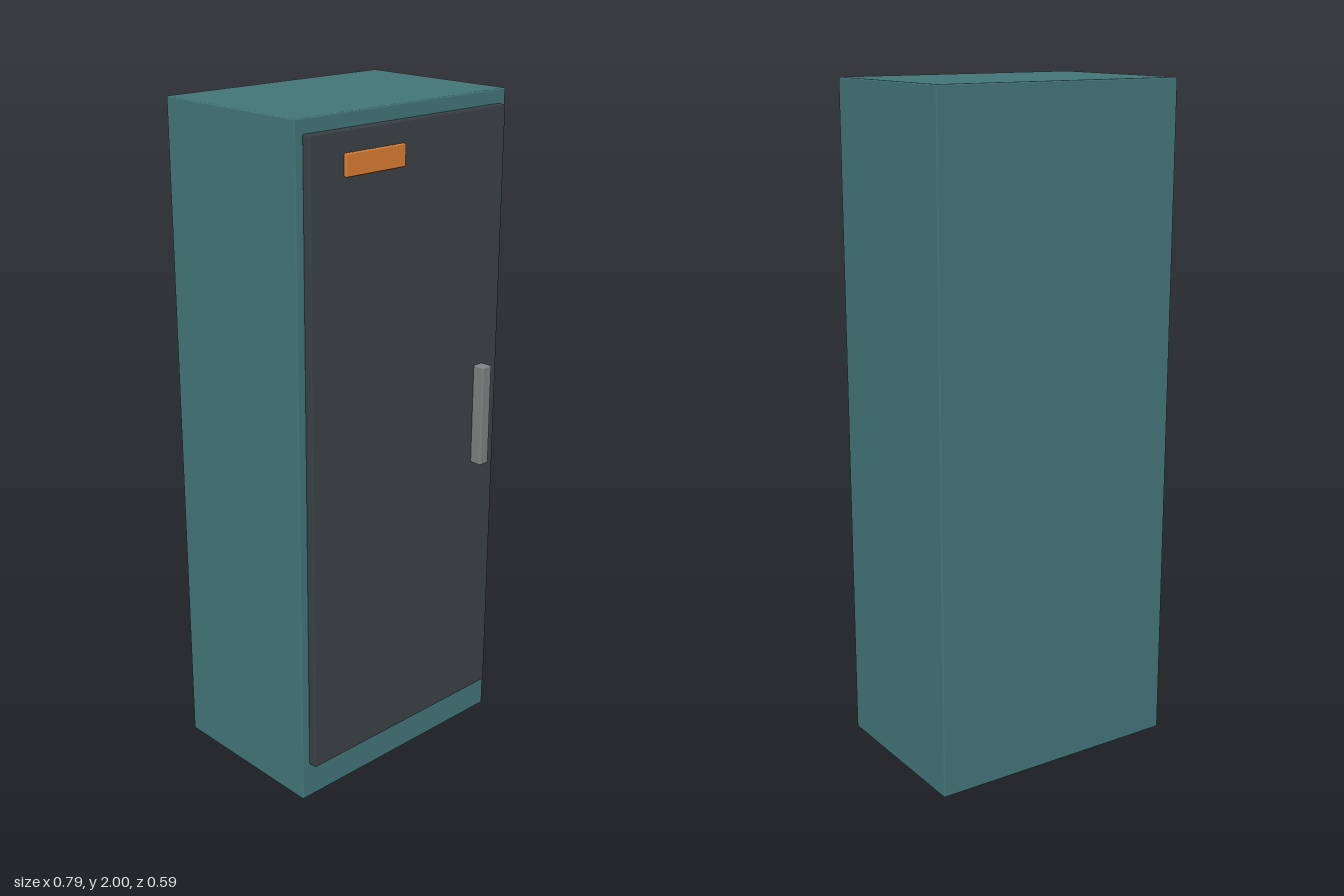
import * as THREE from 'three';
import { RoundedBoxGeometry } from 'three/addons/geometries/RoundedBoxGeometry.js';

// Softly rounded box given by its extents on each axis
function roundedPart(name, color, [x0, x1], [y0, y1], [z0, z1], radius) {
  const mesh = new THREE.Mesh(
    new RoundedBoxGeometry(x1 - x0, y1 - y0, z1 - z0, 3, radius),
    new THREE.MeshStandardMaterial({ color })
  );
  mesh.position.set((x0 + x1) / 2, (y0 + y1) / 2, (z0 + z1) / 2);
  mesh.name = name;
  return mesh;
}

export function createModel() {
  const group = new THREE.Group();
  group.name = 'cabinet';

  group.add(
    // Solid housing
    roundedPart('body', 0x427477, [-0.394, 0.394], [0, 2], [-0.298, 0.229], 0.004),
    // Door, set higher at the bottom to leave a plinth
    roundedPart('door', 0x394146, [-0.368, 0.366], [0.112, 1.96], [0.228, 0.256], 0.004),
    // Vertical pull handle on the opening side
    roundedPart('handle', 0x7b8080, [0.266, 0.303], [0.905, 1.214], [0.256, 0.296], 0.005),
    // Plain label plate near the top hinge corner
    roundedPart('labelPlate', 0xd97c33, [-0.252, -0.036], [1.84, 1.902], [0.255, 0.266], 0.004)
  );
  return group;
}
